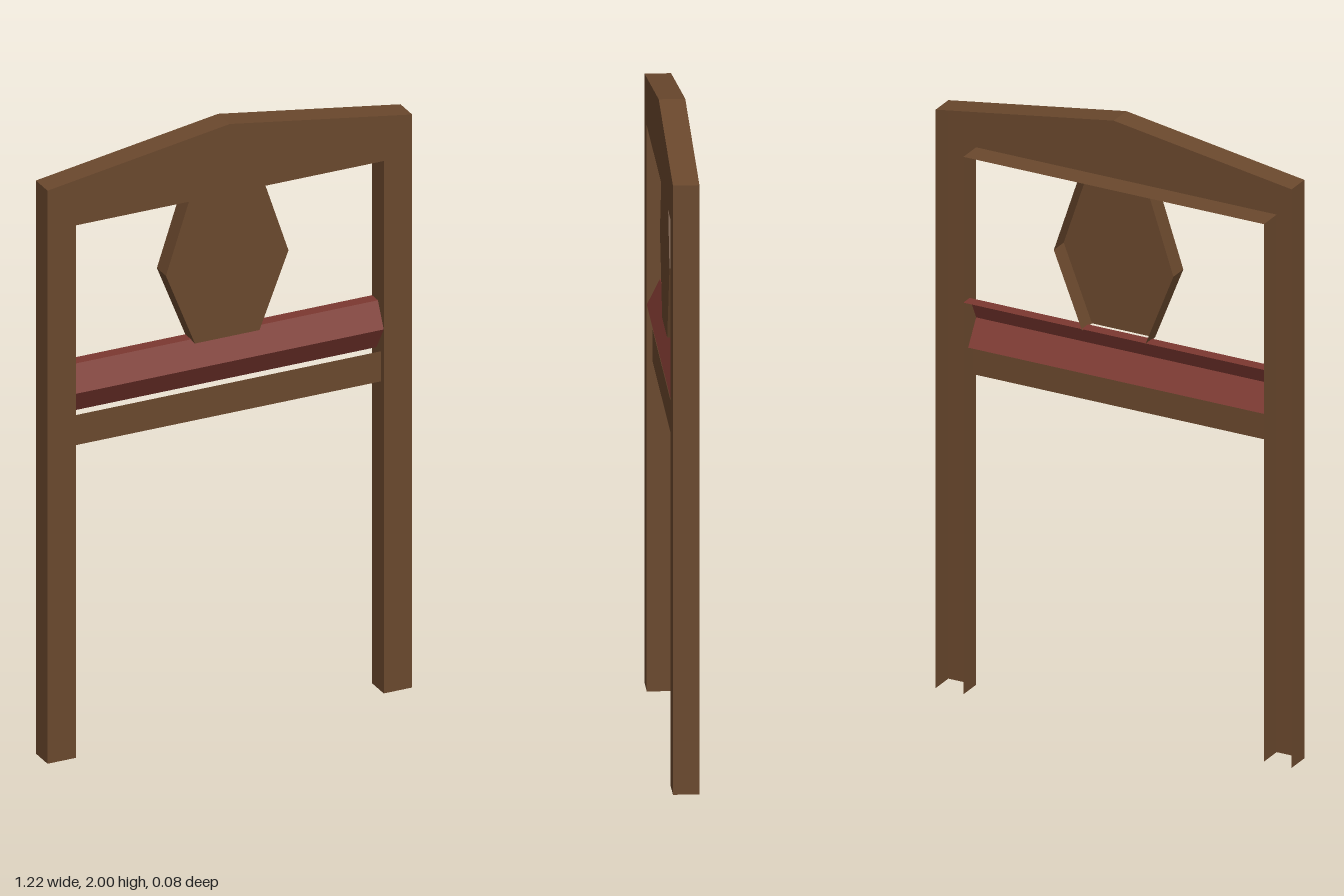
import * as THREE from 'three';

const frameWood = new THREE.MeshStandardMaterial({ color: 0x6a482d, side: THREE.DoubleSide, flatShading: true });
frameWood.name = 'brown wood';
const redPaint = new THREE.MeshStandardMaterial({ color: 0x7c3830, side: THREE.DoubleSide, flatShading: true });
redPaint.name = 'dark red';

const HALF_DEPTH = 0.04;
const HALF_OPENING = 0.515;

// Thin wall that follows an x-y path and runs from z0 to z1
function wall(name, path, z0, z1, material) {
  const pos = [];
  for (let i = 0; i < path.length - 1; i++) {
    const [ax, ay] = path[i];
    const [bx, by] = path[i + 1];
    pos.push(ax, ay, z0, bx, by, z0, bx, by, z1);
    pos.push(ax, ay, z0, bx, by, z1, ax, ay, z1);
  }
  const geometry = new THREE.BufferGeometry();
  geometry.setAttribute('position', new THREE.Float32BufferAttribute(pos, 3));
  geometry.computeVertexNormals();
  const mesh = new THREE.Mesh(geometry, material);
  mesh.name = name;
  return mesh;
}

// Flat front panel with the given outline
function panel(name, outline, z, material) {
  const shape = new THREE.Shape(outline.map(([x, y]) => new THREE.Vector2(x, y)));
  const mesh = new THREE.Mesh(new THREE.ShapeGeometry(shape), material);
  mesh.position.z = z;
  mesh.name = name;
  return mesh;
}

export function createModel() {
  const model = new THREE.Group();
  model.name = 'gabledFrame';

  // Frame: two posts and a gabled header, hollow and open at the back
  const inner = [[-HALF_OPENING, 0], [-HALF_OPENING, 1.77], [HALF_OPENING, 1.77], [HALF_OPENING, 0]];
  const outer = [[0.61, 0], [0.61, 1.905], [0, 2], [-0.61, 1.905], [-0.61, 0]];
  const frame = new THREE.Group();
  frame.name = 'frame';
  frame.add(
    panel('frameFront', [...inner, ...outer], HALF_DEPTH, frameWood),
    wall('frameInnerWall', inner, -HALF_DEPTH, HALF_DEPTH, frameWood),
    wall('frameOuterWall', outer, -HALF_DEPTH, HALF_DEPTH, frameWood)
  );
  model.add(frame);

  // Six-sided centre panel hanging from the header, with side walls only
  const rightSide = [[0.108, 1.285], [0.205, 1.53], [0.125, 1.77]];
  const leftSide = rightSide.map(([x, y]) => [-x, y]).reverse();
  const centre = new THREE.Group();
  centre.name = 'centrePanel';
  centre.add(
    panel('centrePanelFront', [...rightSide, ...leftSide], 0.022, frameWood),
    wall('centrePanelLeftWall', rightSide, -HALF_DEPTH, 0.022, frameWood),
    wall('centrePanelRightWall', leftSide, -HALF_DEPTH, 0.022, frameWood)
  );
  model.add(centre);

  // Red rail: z-y profile with a front ridge, run along x
  const profile = [[-0.01, 1.13], [HALF_DEPTH, 1.21], [0, 1.29], [-HALF_DEPTH, 1.29]];
  const rail = wall('redRail', profile, -HALF_OPENING, HALF_OPENING, redPaint);
  rail.rotation.y = -Math.PI / 2;
  model.add(rail);

  // Flat board below the red rail
  const board = [[-HALF_OPENING, 1.03], [HALF_OPENING, 1.03], [HALF_OPENING, 1.13], [-HALF_OPENING, 1.13]];
  model.add(panel('lowerBoard', board, 0.022, frameWood));

  return model;
}
